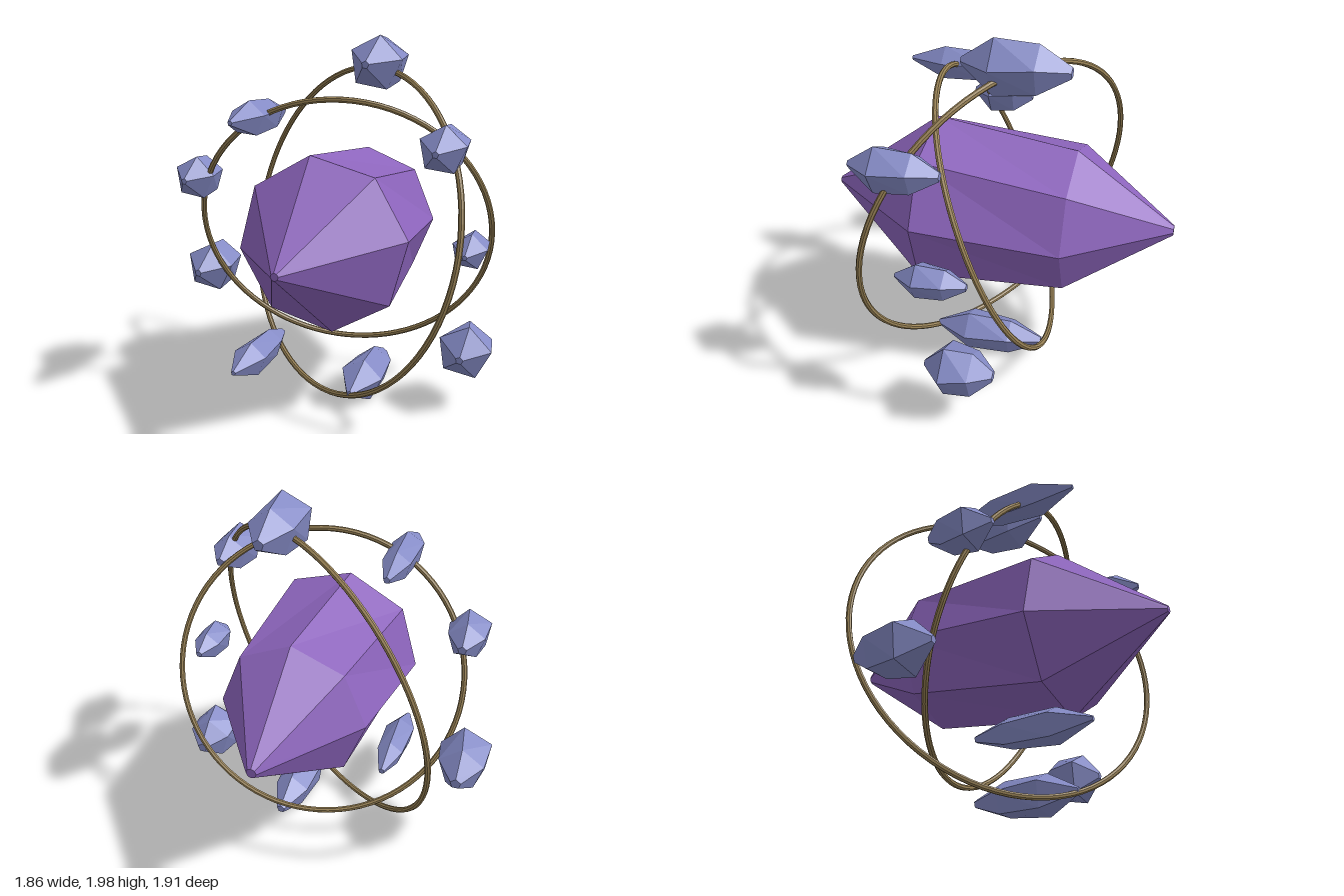
import * as THREE from 'three';

const crystalPurple = new THREE.MeshStandardMaterial({ color: 0x8d65bd, flatShading: true });
crystalPurple.name = 'crystalPurple';
const shardBlue = new THREE.MeshStandardMaterial({ color: 0x858bc6, flatShading: true });
shardBlue.name = 'shardBlue';
const ringBronze = new THREE.MeshStandardMaterial({ color: 0x9a8356, flatShading: true });
ringBronze.name = 'ringBronze';

// Faceted gem along z: four rings [z, radius, turn in degrees], front to back
function gemGeometry(sides, rings) {
  const geo = new THREE.CylinderGeometry(1, 1, 3, sides, 3).rotateX(Math.PI / 2);
  const pos = geo.attributes.position;
  const axis = new THREE.Vector3(0, 0, 1);
  const v = new THREE.Vector3();
  for (let i = 0; i < pos.count; i++) {
    v.fromBufferAttribute(pos, i);
    const [z, radius, turn] = rings[Math.round(1.5 - v.z)];
    v.z = 0;
    v.multiplyScalar(radius).applyAxisAngle(axis, THREE.MathUtils.degToRad(turn));
    pos.setXYZ(i, v.x, v.y, z);
  }
  const flat = geo.toNonIndexed();
  flat.computeVertexNormals();
  return flat;
}

function addMesh(group, name, geo, material, x, y, z) {
  const mesh = new THREE.Mesh(geo, material);
  mesh.name = name;
  mesh.position.set(x, y, z);
  group.add(mesh);
  return mesh;
}

export function createModel() {
  const model = new THREE.Group();
  model.name = 'crystalWithRings';
  const cx = 0.07, cy = 0.94;

  // Large eight-sided centre crystal
  addMesh(model, 'coreCrystal', gemGeometry(8, [
    [0.953, 0.02, 7.3], [0.365, 0.47, 7.3], [-0.42, 0.403, 0], [-0.953, 0.027, 0],
  ]), crystalPurple, cx, cy, 0);

  // Two tilted rings: radius and facing direction
  const rings = [
    [0.906, [-0.561, 0.215, 0.799]],
    [0.806, [0.165, -0.382, 0.91]],
  ];
  rings.forEach(([radius, n], i) => {
    const ring = addMesh(model, `orbitRing${i + 1}`,
      new THREE.TorusGeometry(radius, 0.016, 8, 80), ringBronze, cx, cy, 0);
    ring.quaternion.setFromUnitVectors(
      new THREE.Vector3(0, 0, 1), new THREE.Vector3(...n).normalize());
  });

  // Small five-sided shards: x, y, radius, back z, front z, angle of upper corner
  const shards = [
    [0.23, 1.85, 0.15, -0.4, 0.15, 80],
    [0.705, 1.475, 0.122, 0.11, 0.57, 83],
    [-0.305, 1.583, 0.095, -0.025, 0.62, 84],
    [-0.3, 0.298, 0.095, 0.04, 0.67, 84],
    [-0.715, 1.225, 0.122, 0.015, 0.38, 81],
    [-0.8, 0.625, 0.15, -0.33, 0.12, 80],
    [0.81, 0.935, 0.095, -0.04, 0.33, 83],
    [0.78, 0.345, 0.15, -0.16, 0.215, 80],
    [0.22, 0.122, 0.122, -0.285, 0.34, 81],
  ];
  shards.forEach(([x, y, r, back, front, angle], i) => {
    const len = front - back;
    const turn = angle + 90;
    addMesh(model, `shard${i + 1}`, gemGeometry(5, [
      [len / 2, r * 0.14, turn], [len * 0.19, r, turn],
      [-len * 0.21, r * 0.86, 180], [-len / 2, r * 0.2, 180],
    ]), shardBlue, x, y, (front + back) / 2);
  });

  return model;
}
